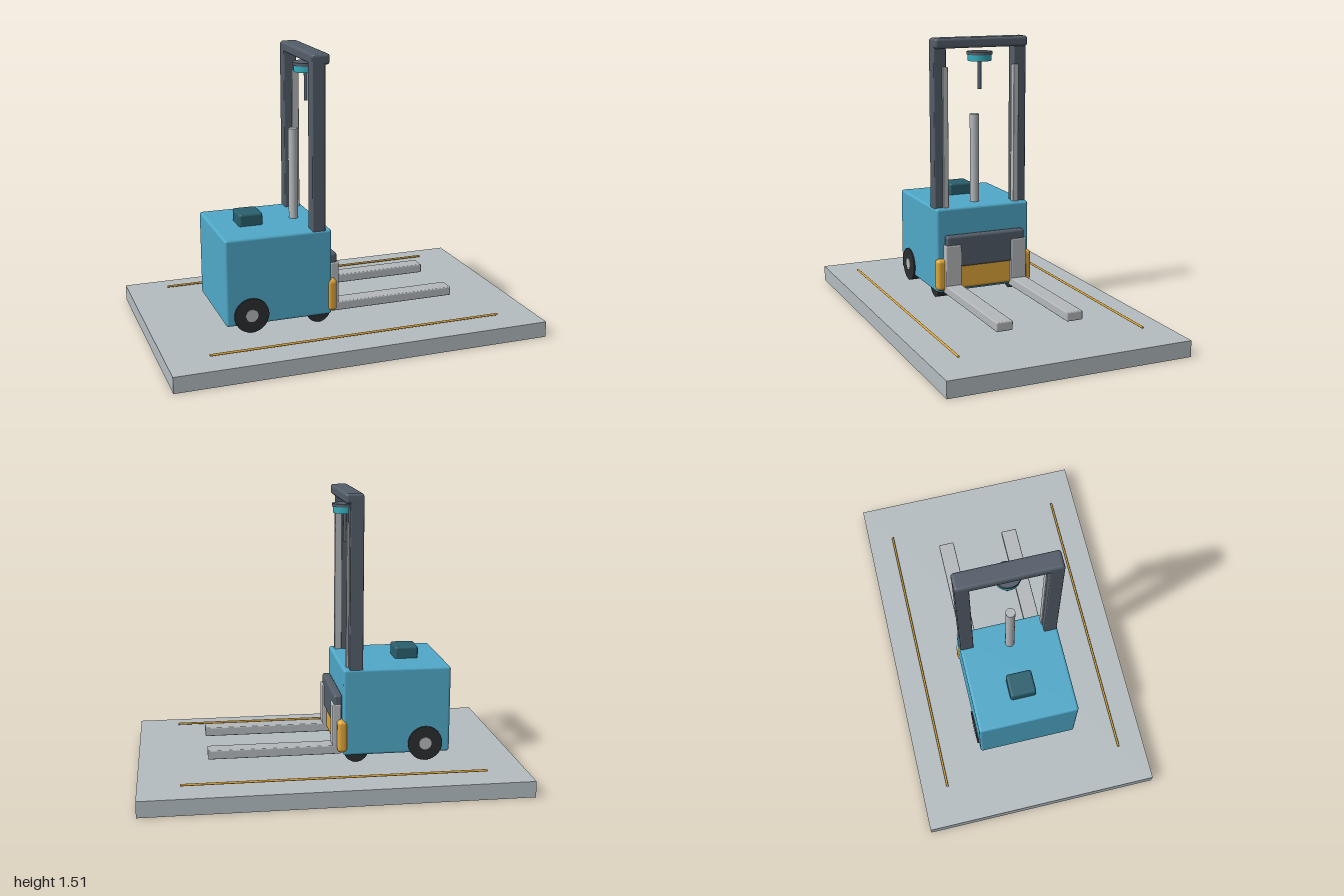
import * as THREE from 'three';
import { RoundedBoxGeometry } from 'three/addons/geometries/RoundedBoxGeometry.js';

const mat = (color) => new THREE.MeshStandardMaterial({ color });

export function createModel() {
  const model = new THREE.Group();
  const blue = mat(0x4fa8c8), teal = mat(0x2a5f6d), lamp = mat(0x35aabb), slate = mat(0x535d68);
  const amber = mat(0xdfa63a), floor = mat(0xb3bcc0), steel = mat(0xb4b8bb), rubber = mat(0x2a2d30);

  const add = (name, geometry, material, x, y, z) => {
    const mesh = new THREE.Mesh(geometry, material);
    mesh.name = name;
    mesh.position.set(x, y, z);
    model.add(mesh);
    return mesh;
  };
  // Box from its limits on each axis, with softened edges when r > 0
  const box = (name, material, [x0, x1], [y0, y1], [z0, z1], r = 0) => {
    const size = [x1 - x0, y1 - y0, z1 - z0];
    const geometry = r ? new RoundedBoxGeometry(...size, 4, r) : new THREE.BoxGeometry(...size);
    return add(name, geometry, material, (x0 + x1) / 2, (y0 + y1) / 2, (z0 + z1) / 2);
  };
  // Upright cylinder between two heights
  const post = (name, material, r, x, y0, y1, z = 0, rBottom = r) =>
    add(name, new THREE.CylinderGeometry(r, rBottom, y1 - y0, 32), material, x, (y0 + y1) / 2, z);
  // Disc with its axle along z
  const disc = (name, material, r, width, x, y, z) => {
    add(name, new THREE.CylinderGeometry(r, r, width, 40), material, x, y, z).rotation.x = Math.PI / 2;
  };

  // Floor slab and truck body
  box('floorSlab', floor, [-1, 1], [0, 0.085], [-0.645, 0.645]);
  box('body', blue, [-0.64, -0.07], [0.135, 0.6], [-0.272, 0.272], 0.014);
  box('topCover', teal, [-0.508, -0.38], [0.58, 0.665], [-0.07, 0.07], 0.014);

  // Mast crossbar, lift cylinder and hanging beacon
  box('mastCrossbar', slate, [-0.173, -0.077], [1.455, 1.51], [-0.268, 0.268], 0.016);
  post('liftCylinder', steel, 0.025, -0.19, 0.58, 1.087);
  post('beaconCap', slate, 0.069, -0.117, 1.416, 1.433);
  post('beacon', lamp, 0.064, -0.117, 1.383, 1.416);
  post('beaconRod', slate, 0.01, -0.117, 1.23, 1.383);

  // Bumper and fork carriage
  box('bumper', amber, [-0.092, -0.04], [0.152, 0.325], [-0.28, 0.28], 0.02);
  box('forkCarriage', slate, [-0.072, -0.026], [0.28, 0.455], [-0.23, 0.23], 0.014);

  // Mirrored parts
  for (const s of [-1, 1]) {
    const span = (a, b) => (s > 0 ? [a, b] : [-b, -a]);
    box('mastPost', slate, [-0.173, -0.103], [0.3, 1.5], span(0.197, 0.268), 0.006);
    box('mastRail', steel, [-0.13, -0.092], [0.3, 1.357], span(0.191, 0.221), 0.004);
    box('forkShank', steel, [-0.064, -0.018], [0.135, 0.405], span(0.149, 0.238), 0.006);
    box('forkTine', steel, [-0.064, 0.636], [0.135, 0.183], span(0.149, 0.238), 0.006);
    disc('driveWheel', rubber, 0.092, 0.104, -0.507, 0.187, s * 0.228);
    disc('driveWheelHub', steel, 0.033, 0.108, -0.507, 0.187, s * 0.23);
    disc('loadWheel', rubber, 0.065, 0.08, -0.14, 0.16, s * 0.22);
    const line = add('guideLine', new THREE.CylinderGeometry(0.006, 0.006, 1.57, 12), amber, 0, 0.103, s * 0.5);
    line.rotation.z = Math.PI / 2;
  }
  return model;
}
